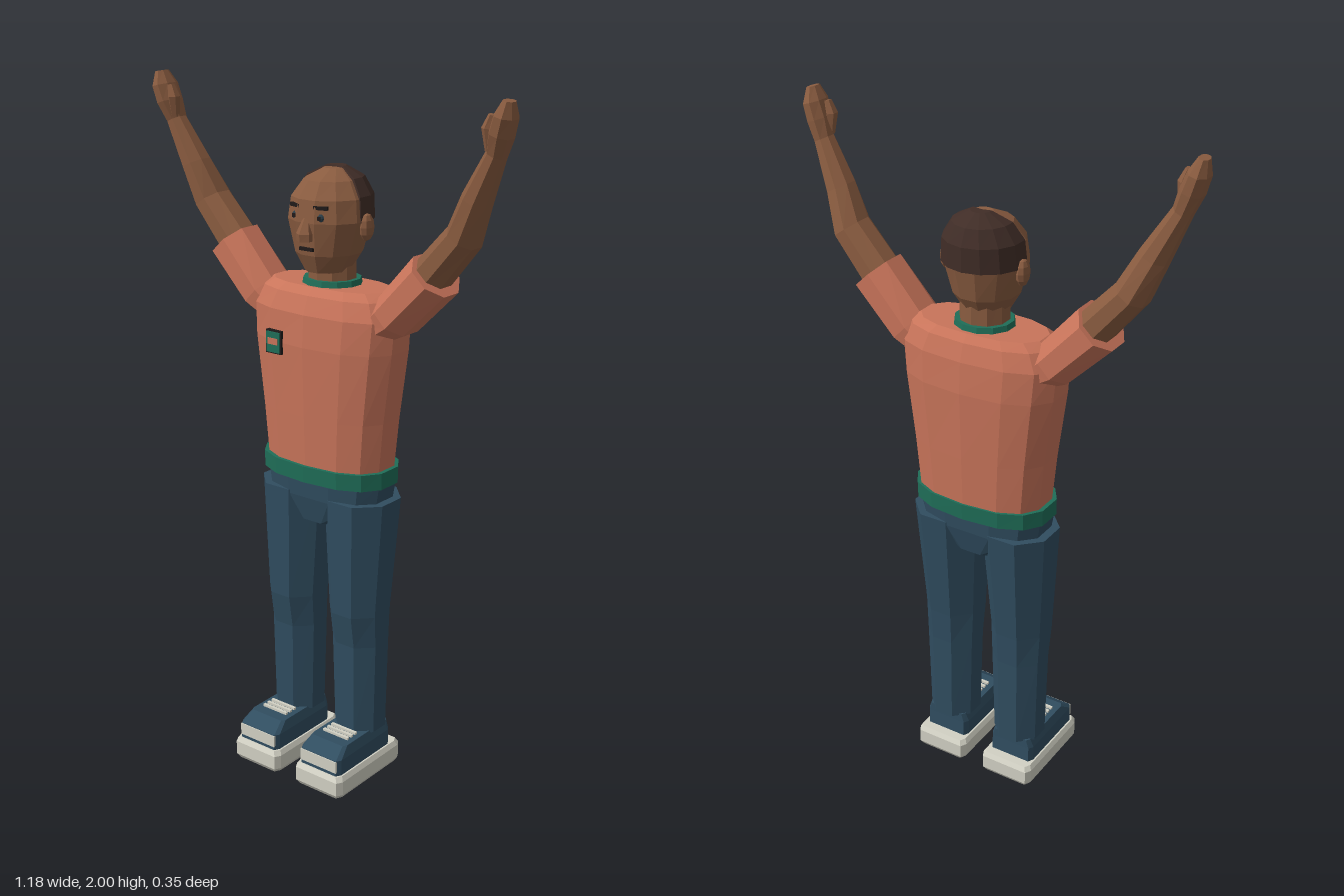
import * as THREE from 'three';

const mat = (name, color) => Object.assign(new THREE.MeshStandardMaterial({ color }), { name });

export function createModel() {
  const M = {
    skin: mat('skin', 0x8a5c40), shirt: mat('shirt', 0xc8745a), trim: mat('green trim', 0x1f6e58),
    denim: mat('denim', 0x304d60), sole: mat('off white', 0xd2d1c4), hair: mat('hair', 0x402d27),
    dark: mat('dark', 0x1f1a19), eye: mat('eye', 0x2a3c46),
  };
  const root = new THREE.Group();
  root.name = 'figure';

  function add(name, geometry, material, x = 0, y = 0, z = 0) {
    let g = geometry.index ? geometry.toNonIndexed() : geometry;
    g.computeVertexNormals(); // faceted normals
    const mesh = new THREE.Mesh(g, material);
    mesh.name = name;
    mesh.position.set(x, y, z);
    root.add(mesh);
    return mesh;
  }

  // Closed solid through rings [x, y, z, rx, rz].
  // pow < 1 squares the outline, along tilts rings to the path, arc makes a wedge.
  function loft(rings, { sides = 8, pow = 1, along = false, arc = null } = {}) {
    const bend = (v) => Math.sign(v) * Math.abs(v) ** pow;
    const norm = arc ? 1 : bend(Math.cos(Math.PI / sides));
    const outline = [];
    for (let j = 0; j < sides; j++) {
      const a = arc ? arc[0] + (arc[1] - arc[0]) * j / (sides - 1) : (j + 0.5) / sides * Math.PI * 2;
      outline.push([bend(Math.cos(a)) / norm, bend(Math.sin(a)) / norm]);
    }
    if (arc) outline.push([0, 0]);
    const n = outline.length, last = rings.length - 1;
    const centre = rings.map((r) => new THREE.Vector3(r[0], r[1], r[2]));
    const pos = [], index = [];
    rings.forEach((r, i) => {
      const t = new THREE.Vector3(0, 1, 0);
      if (along) t.subVectors(centre[Math.min(i + 1, last)], centre[Math.max(i - 1, 0)]).setZ(0).normalize();
      const v = new THREE.Vector3(0, 0, -1);
      const u = v.clone().cross(t);
      for (const [c, s] of outline) {
        const p = centre[i].clone().addScaledVector(u, c * r[3]).addScaledVector(v, s * r[4]);
        pos.push(p.x, p.y, p.z);
      }
    });
    pos.push(...centre[0].toArray(), ...centre[last].toArray());
    const c0 = rings.length * n, c1 = c0 + 1;
    for (let j = 0; j < n; j++) {
      const k = (j + 1) % n;
      for (let i = 0; i < last; i++) {
        const a = i * n + j, b = i * n + k;
        index.push(a, b, b + n, a, b + n, a + n);
      }
      index.push(c0, k, j, c1, last * n + j, last * n + k);
    }
    const g = new THREE.BufferGeometry();
    g.setAttribute('position', new THREE.Float32BufferAttribute(pos, 3));
    g.setIndex(index);
    return g;
  }
  const box = (w, h, d) => new THREE.BoxGeometry(w, h, d);

  // Torso, belt, pelvis, collar
  add('shirt', loft([
    [0, 0.93, -0.043, 0.192, 0.116], [0, 1.1, -0.043, 0.208, 0.122], [0, 1.3, -0.043, 0.234, 0.128],
    [0, 1.39, -0.043, 0.241, 0.122], [0, 1.44, -0.045, 0.215, 0.105], [0, 1.46, -0.047, 0.185, 0.085],
  ], { sides: 14, pow: 0.8 }), M.shirt);
  add('belt', loft([[0, 0.91, -0.041, 0.207, 0.123], [0, 0.958, -0.041, 0.207, 0.125]], { sides: 14, pow: 0.8 }), M.trim);
  add('pelvis', loft([
    [0, 0.78, -0.04, 0.085, 0.085], [0, 0.855, -0.04, 0.19, 0.102], [0, 0.915, -0.04, 0.2, 0.106],
  ], { sides: 12, pow: 0.75 }), M.denim);
  add('collar', loft([[0, 1.45, -0.045, 0.085, 0.078], [0, 1.476, -0.045, 0.08, 0.074]], { sides: 12 }), M.trim);
  add('neck', loft([[0, 1.44, -0.045, 0.067, 0.064], [0, 1.57, -0.045, 0.065, 0.064]], { sides: 10 }), M.skin);

  // Chest badge
  add('badgeBorder', box(0.054, 0.066, 0.02), M.dark, -0.101, 1.3, 0.078);
  add('badge', box(0.046, 0.058, 0.006), M.trim, -0.101, 1.3, 0.089);
  add('badgeStripe', box(0.034, 0.018, 0.004), M.shirt, -0.101, 1.303, 0.092);

  // Head with a wedge of hair over its back half
  add('head', loft([
    [0, 1.5, -0.028, 0.058, 0.068], [0, 1.55, -0.032, 0.088, 0.093], [0, 1.64, -0.035, 0.113, 0.108],
    [0, 1.7, -0.04, 0.105, 0.106], [0, 1.745, -0.046, 0.074, 0.08], [0, 1.772, -0.056, 0.028, 0.03],
  ], { sides: 12 }), M.skin);
  add('hair', loft([
    [0, 1.638, -0.043, 0.117, 0.114], [0, 1.705, -0.046, 0.111, 0.111],
    [0, 1.75, -0.052, 0.081, 0.085], [0, 1.777, -0.06, 0.028, 0.03],
  ], { sides: 9, arc: [-0.2, Math.PI + 0.2] }), M.hair);
  add('nose', loft([[0, 1.592, 0.07, 0.021, 0.022], [0, 1.612, 0.07, 0.022, 0.024], [0, 1.652, 0.064, 0.009, 0.01]], { sides: 6 }), M.skin);
  add('mouth', box(0.046, 0.009, 0.008), M.dark, 0, 1.569, 0.067);

  for (const s of [-1, 1]) {
    const side = s > 0 ? 'left' : 'right';
    const limb = (name, rings, material, opts) =>
      add(side + name, loft(rings.map(([x, ...r]) => [s * x, ...r]), opts), material);

    // Face details and ears
    const ear = add(side + 'Ear', new THREE.SphereGeometry(0.034, 8, 6), M.skin, s * 0.116, 1.625, -0.045);
    ear.scale.set(0.5, 1.1, 0.75);
    const eye = add(side + 'Eye', new THREE.SphereGeometry(0.012, 8, 6), M.eye, s * 0.042, 1.655, 0.06);
    eye.scale.z = 0.6;
    add(side + 'Pupil', box(0.01, 0.01, 0.004), M.dark, s * 0.042, 1.655, 0.067);
    const brow = add(side + 'Brow', box(0.04, 0.01, 0.012), M.dark, s * 0.042, 1.682, 0.058);
    brow.rotation.y = s * 0.25;

    // Raised arm: sleeve, arm with hand, thumb
    limb('Sleeve', [
      [0.17, 1.36, -0.04, 0.045, 0.07], [0.225, 1.403, -0.04, 0.062, 0.082], [0.345, 1.53, -0.04, 0.068, 0.08],
    ], M.shirt, { along: true });
    limb('Arm', [
      [0.3, 1.49, -0.043, 0.052, 0.062], [0.43, 1.64, -0.04, 0.045, 0.058], [0.475, 1.74, -0.022, 0.038, 0.044],
      [0.535, 1.86, -0.008, 0.025, 0.03], [0.552, 1.91, 0, 0.029, 0.04], [0.566, 1.955, 0.003, 0.026, 0.041],
      [0.574, 1.993, 0.006, 0.013, 0.022],
    ], M.skin, { along: true });
    limb('Thumb', [
      [0.525, 1.87, 0.008, 0.01, 0.012], [0.523, 1.925, 0.014, 0.015, 0.017], [0.533, 1.958, 0.014, 0.008, 0.01],
    ], M.skin, { sides: 6, along: true });

    // Trouser leg
    limb('Leg', [
      [0.115, 0.14, -0.037, 0.071, 0.07], [0.114, 0.42, -0.036, 0.078, 0.074],
      [0.114, 0.52, -0.03, 0.082, 0.085], [0.113, 0.865, -0.04, 0.103, 0.105],
    ], M.denim);

    // Shoe: chamfered sole, upper, toe stripe, laces
    limb('Sole', [
      [0.116, 0, 0.023, 0.076, 0.143], [0.116, 0.014, 0.023, 0.085, 0.152],
      [0.116, 0.056, 0.023, 0.085, 0.152], [0.116, 0.07, 0.023, 0.077, 0.144],
    ], M.sole, { pow: 0.15 });
    limb('ShoeUpper', [
      [0.116, 0.068, 0.035, 0.072, 0.128], [0.116, 0.118, 0.035, 0.072, 0.126], [0.116, 0.146, 0.014, 0.062, 0.105],
    ], M.denim, { pow: 0.15 });
    add(side + 'ToeStripe', box(0.13, 0.036, 0.008), M.sole, s * 0.116, 0.098, 0.16);
    for (const z of [0.042, 0.061, 0.08]) add(side + 'Lace', box(0.09, 0.008, 0.009), M.sole, s * 0.116, 0.149, z);
  }
  return root;
}
